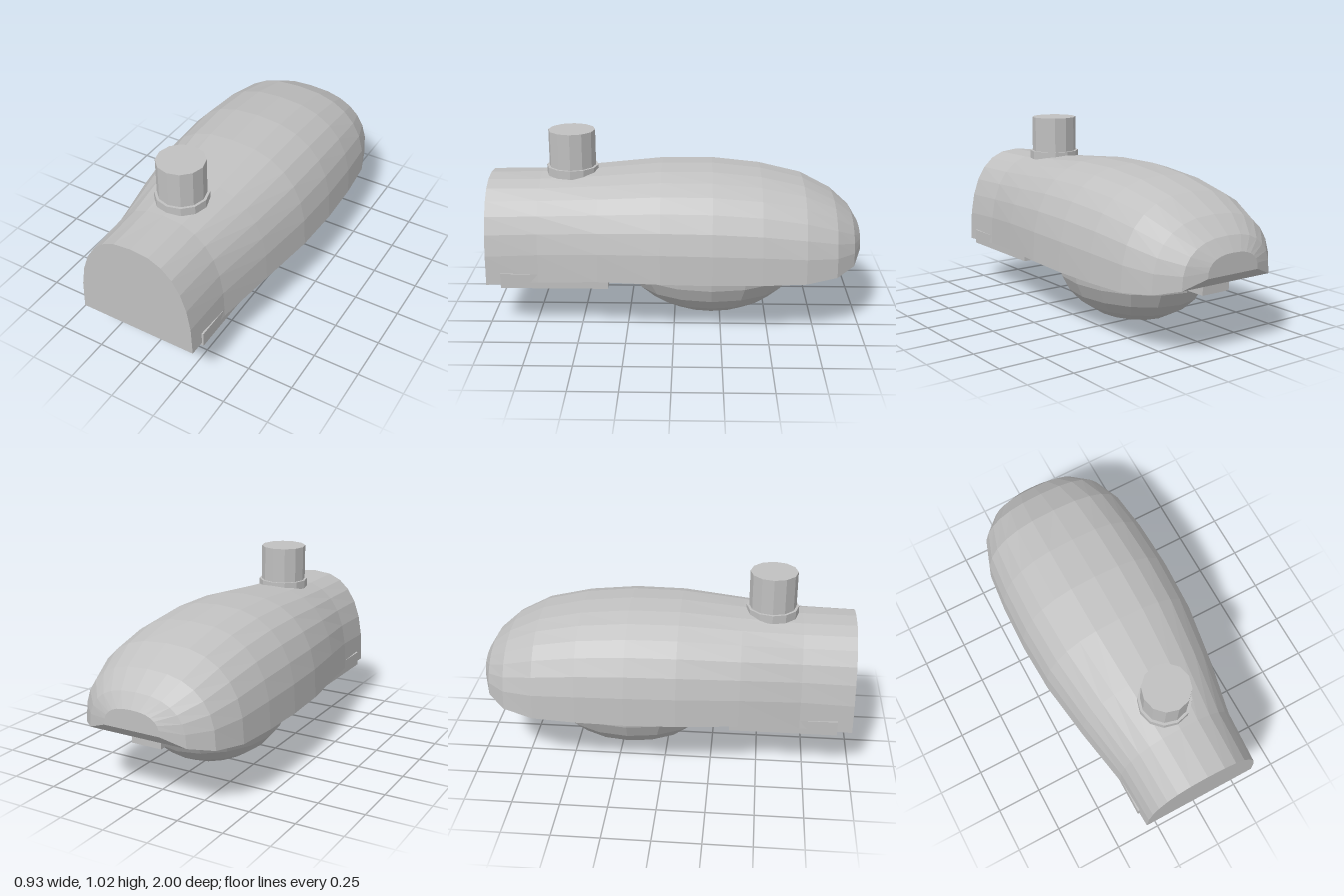
import * as THREE from 'three';

const grey = new THREE.MeshStandardMaterial({ color: 0xc0c0c0, flatShading: true });
grey.name = 'lamp grey';

// Housing stations from front to back: z, half width, bottom y, top y
const STATIONS = [
  [1, 0.328, 0.255, 0.785], [0.72, 0.342, 0.278, 0.788], [0.4, 0.405, 0.31, 0.812],
  [0.07, 0.455, 0.32, 0.842], [-0.2, 0.467, 0.32, 0.843], [-0.46, 0.46, 0.32, 0.816],
  [-0.69, 0.438, 0.32, 0.762], [-0.855, 0.38, 0.334, 0.677], [-0.955, 0.28, 0.36, 0.59],
  [-1, 0.16, 0.41, 0.515],
];

// Arched cross-section: a rounded half-ellipse with a flat underside
function arch([z, w, bottom, top], steps = 14) {
  const points = [];
  for (let i = 0; i <= steps; i++) {
    const a = (i / steps) * Math.PI;
    const c = Math.cos(a), s = Math.max(0, Math.sin(a));
    const x = w * Math.sign(c) * Math.abs(c) ** 0.8;
    const y = i % steps === 0 ? bottom : bottom + (top - bottom) * s ** 0.8;
    points.push([x, y, z]);
  }
  return points;
}

// Join the cross-sections and close both ends
function loft(rings) {
  const v = [];
  const tri = (a, b, c) => v.push(...a, ...b, ...c);
  const n = rings[0].length;
  for (let s = 0; s < rings.length - 1; s++) {
    for (let i = 0; i < n; i++) {
      const j = (i + 1) % n;
      const a = rings[s][i], b = rings[s][j], c = rings[s + 1][i], d = rings[s + 1][j];
      tri(a, c, b);
      tri(b, c, d);
    }
  }
  const first = rings[0], last = rings[rings.length - 1];
  for (let i = 1; i < n - 1; i++) {
    tri(first[0], first[i], first[i + 1]);
    tri(last[0], last[i + 1], last[i]);
  }
  const g = new THREE.BufferGeometry();
  g.setAttribute('position', new THREE.Float32BufferAttribute(v, 3));
  g.computeVertexNormals();
  return g;
}

export function createModel() {
  const model = new THREE.Group();
  model.name = 'streetLampHead';
  const add = (name, geometry, x, y, z) => {
    const mesh = new THREE.Mesh(geometry, grey);
    mesh.name = name;
    mesh.position.set(x, y, z);
    model.add(mesh);
    return mesh;
  };

  add('housing', loft(STATIONS.map((s) => arch(s))), 0, 0, 0);

  // Lower half of an ellipsoid hanging from the flat underside
  const lens = new THREE.SphereGeometry(1, 16, 6, 0, Math.PI * 2, Math.PI / 2, Math.PI / 2);
  add('lens', lens, 0, 0.32, -0.2).scale.set(0.37, 0.317, 0.48);

  // Mounting socket on top
  add('mountCollar', new THREE.CylinderGeometry(0.14, 0.14, 0.046, 12), 0, 0.807, 0.555);
  add('mountPipe', new THREE.CylinderGeometry(0.126, 0.126, 0.245, 12), 0, 0.9025, 0.555);

  // Underside fittings
  add('accessTray', new THREE.BoxGeometry(0.68, 0.08, 0.57), 0, 0.283, 0.635);
  add('rearLatch', new THREE.BoxGeometry(0.17, 0.06, 0.11), 0, 0.318, -0.825);

  return model;
}
